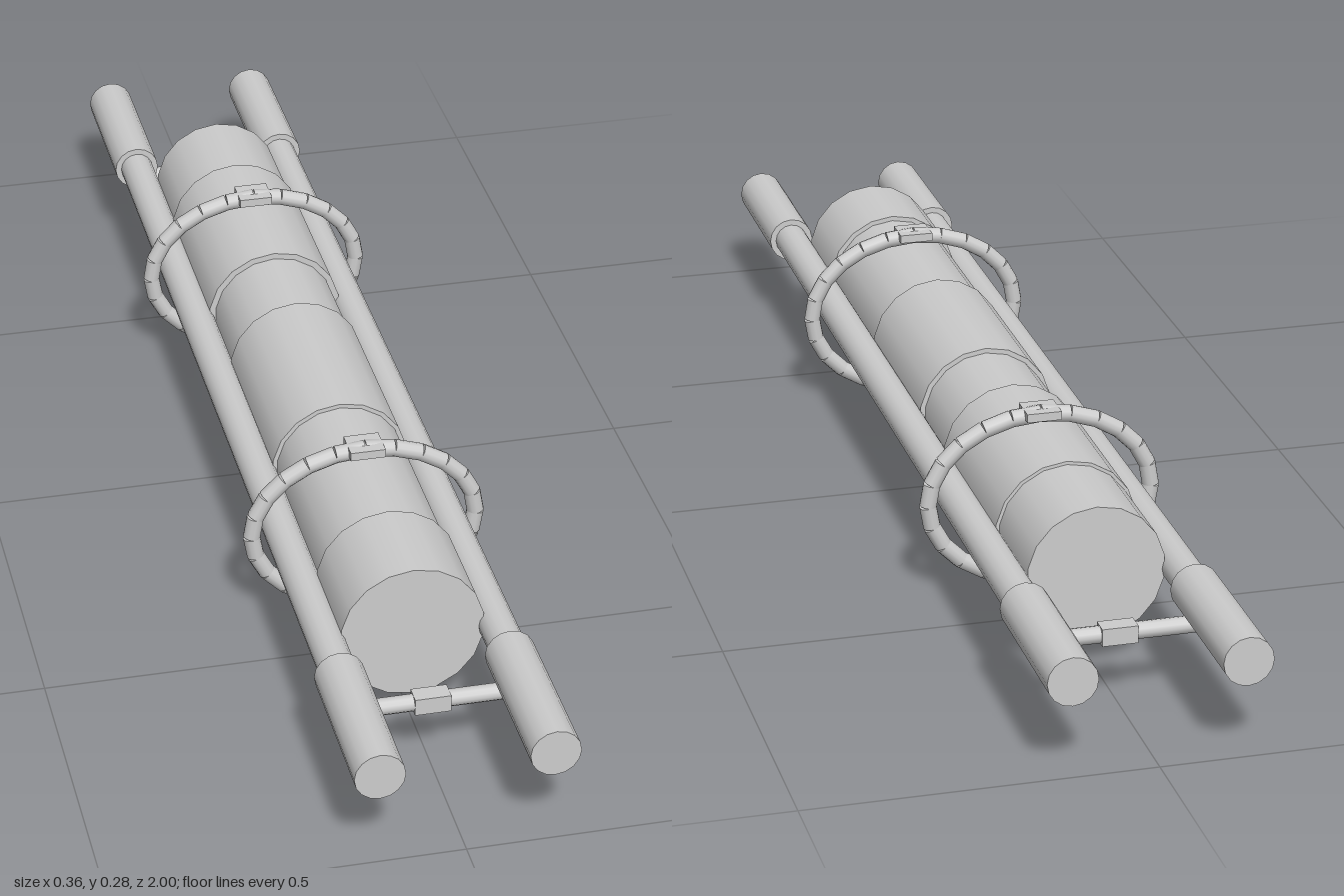
import * as THREE from 'three';

const grey = new THREE.MeshStandardMaterial({ color: 0xcccccc });
grey.name = 'light grey';

export function createModel() {
  const model = new THREE.Group();
  model.name = 'rolledStretcher';

  const add = (name, geometry, x, y, z, parent = model) => {
    const mesh = new THREE.Mesh(geometry, grey);
    mesh.name = name;
    mesh.position.set(x, y, z);
    parent.add(mesh);
    return mesh;
  };

  // Capped rod between two points
  const UP = new THREE.Vector3(0, 1, 0);
  const rod = (name, a, b, radius, sides, parent = model) => {
    const dir = b.clone().sub(a);
    const mid = a.clone().add(b).multiplyScalar(0.5);
    const geometry = new THREE.CylinderGeometry(radius, radius, dir.length(), sides);
    const mesh = add(name, geometry, mid.x, mid.y, mid.z, parent);
    mesh.quaternion.setFromUnitVectors(UP, dir.normalize());
    return mesh;
  };
  const v = (x, y, z) => new THREE.Vector3(x, y, z);

  // Rolled canvas: neighbouring lengths of slightly different radius
  const roll = [
    [0.685, 0.53, 0.105], [0.53, 0.23, 0.0975], [0.23, -0.075, 0.104],
    [-0.075, -0.23, 0.0965], [-0.23, -0.53, 0.106], [-0.53, -0.685, 0.101],
  ];
  for (const [front, back, radius] of roll) {
    const geometry = new THREE.CylinderGeometry(radius, radius, front - back, 18);
    geometry.rotateX(Math.PI / 2);
    add('canvasRoll', geometry, 0, 0.15, (front + back) / 2);
  }

  // Carrying poles with thicker grips at both ends
  for (const side of [-1, 1]) {
    const x = side * 0.123;
    rod('pole', v(x, 0.145, -0.99), v(x, 0.145, 0.99), 0.0265, 16);
    for (const end of [-1, 1]) {
      rod('grip', v(x, 0.145, end * 0.755), v(x, 0.145, end), 0.036, 16);
    }
  }

  // Spreader bars with a central hinge block
  for (const end of [-1, 1]) {
    const z = end * 0.793;
    rod('spreaderBar', v(-0.123, 0.108, z), v(0.123, 0.108, z), 0.0125, 12);
    add('spreaderHinge', new THREE.BoxGeometry(0.052, 0.026, 0.028), 0, 0.108, z);
  }

  // Oval straps made of short straight links, with a buckle on top
  const links = 24;
  for (const end of [-1, 1]) {
    const strap = new THREE.Group();
    strap.name = 'strap';
    strap.position.set(0, 0.144, end * 0.387);
    model.add(strap);
    const point = (i) => {
      const t = (i / links) * Math.PI * 2;
      return v(0.169 * Math.sin(t), 0.129 * Math.cos(t), 0);
    };
    for (let i = 0; i < links; i++) {
      rod('strapLink', point(i), point(i + 1), 0.0128, 12, strap);
    }
    add('buckle', new THREE.BoxGeometry(0.052, 0.013, 0.048), 0, 0.132, 0, strap);
  }

  return model;
}
